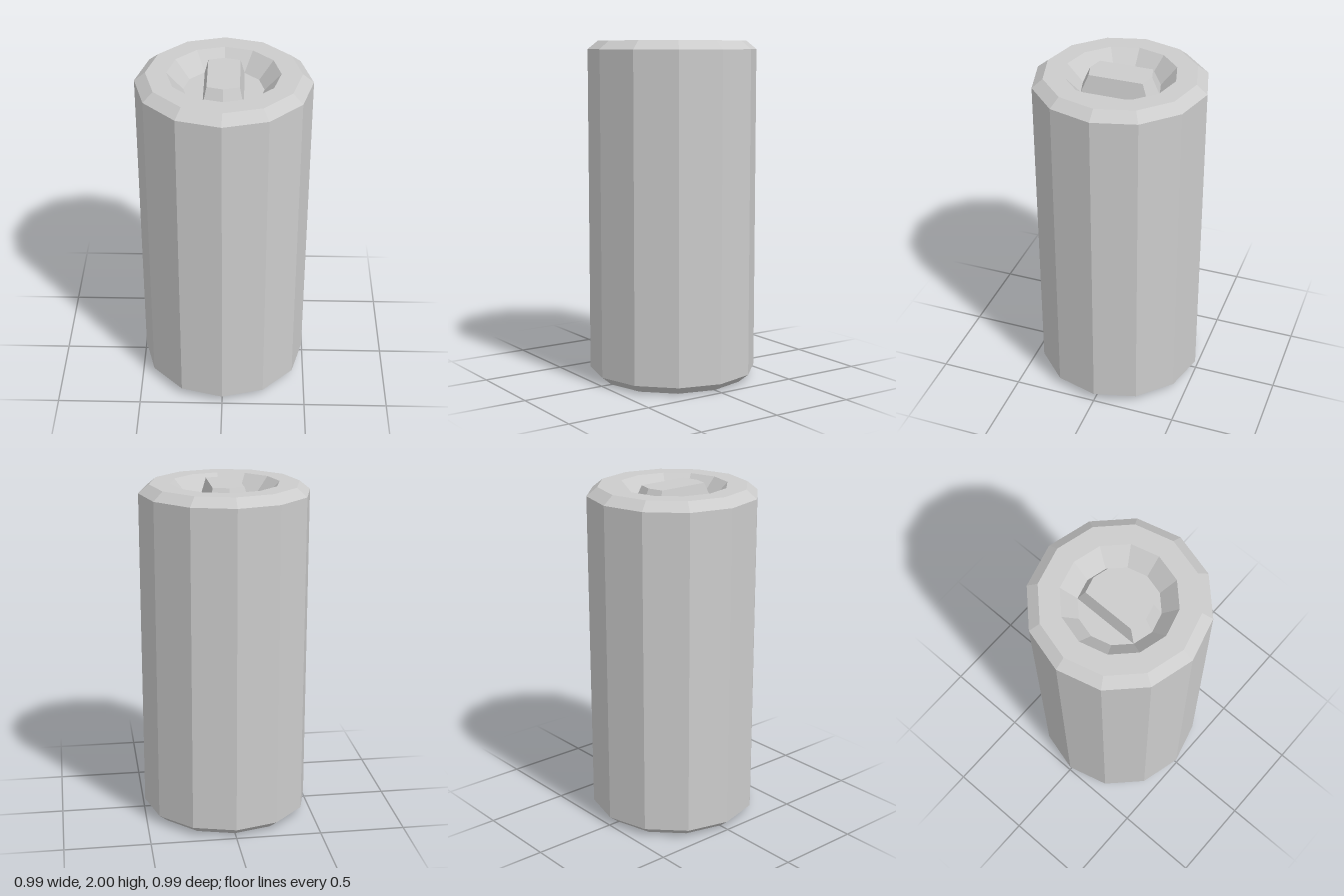
import * as THREE from 'three';

const SIDES = 12;
const HEIGHT = 2;
const RECESS_DEPTH = 0.1;
const RECESS_RADIUS = 0.225;

export function createModel() {
  const model = new THREE.Group();
  model.name = 'slottedCylinder';
  const material = new THREE.MeshStandardMaterial({ color: 0xcccccc, flatShading: true });

  // Twelve-sided body: bevelled at both ends, with a sloped recess in the top
  const floorY = HEIGHT - RECESS_DEPTH;
  const profile = [
    [0, 0], [0.433, 0], [0.495, 0.05], [0.495, 1.95], [0.433, HEIGHT],
    [0.316, HEIGHT], [RECESS_RADIUS, floorY], [0, floorY],
  ].map(([r, y]) => new THREE.Vector2(r, y));
  const body = new THREE.Mesh(new THREE.LatheGeometry(profile, SIDES), material);
  body.name = 'body';
  model.add(body);

  // Tapered grip across the recess: a hexagonal prism narrowed in x,
  // its corners kept on the circle so they meet the recess floor's corners
  const gripGeometry = new THREE.CylinderGeometry(
    RECESS_RADIUS * 0.8, RECESS_RADIUS, RECESS_DEPTH, 6);
  const position = gripGeometry.attributes.position;
  for (let i = 0; i < position.count; i++) {
    const x = position.getX(i);
    const z = position.getZ(i);
    const r = Math.hypot(x, z);
    const narrowX = x / Math.sqrt(3);
    position.setX(i, narrowX);
    position.setZ(i, Math.sign(z) * Math.sqrt(Math.max(0, r * r - narrowX * narrowX)));
  }
  gripGeometry.computeVertexNormals();
  const grip = new THREE.Mesh(gripGeometry, material);
  grip.name = 'grip';
  grip.position.y = floorY + RECESS_DEPTH / 2;
  model.add(grip);

  return model;
}
